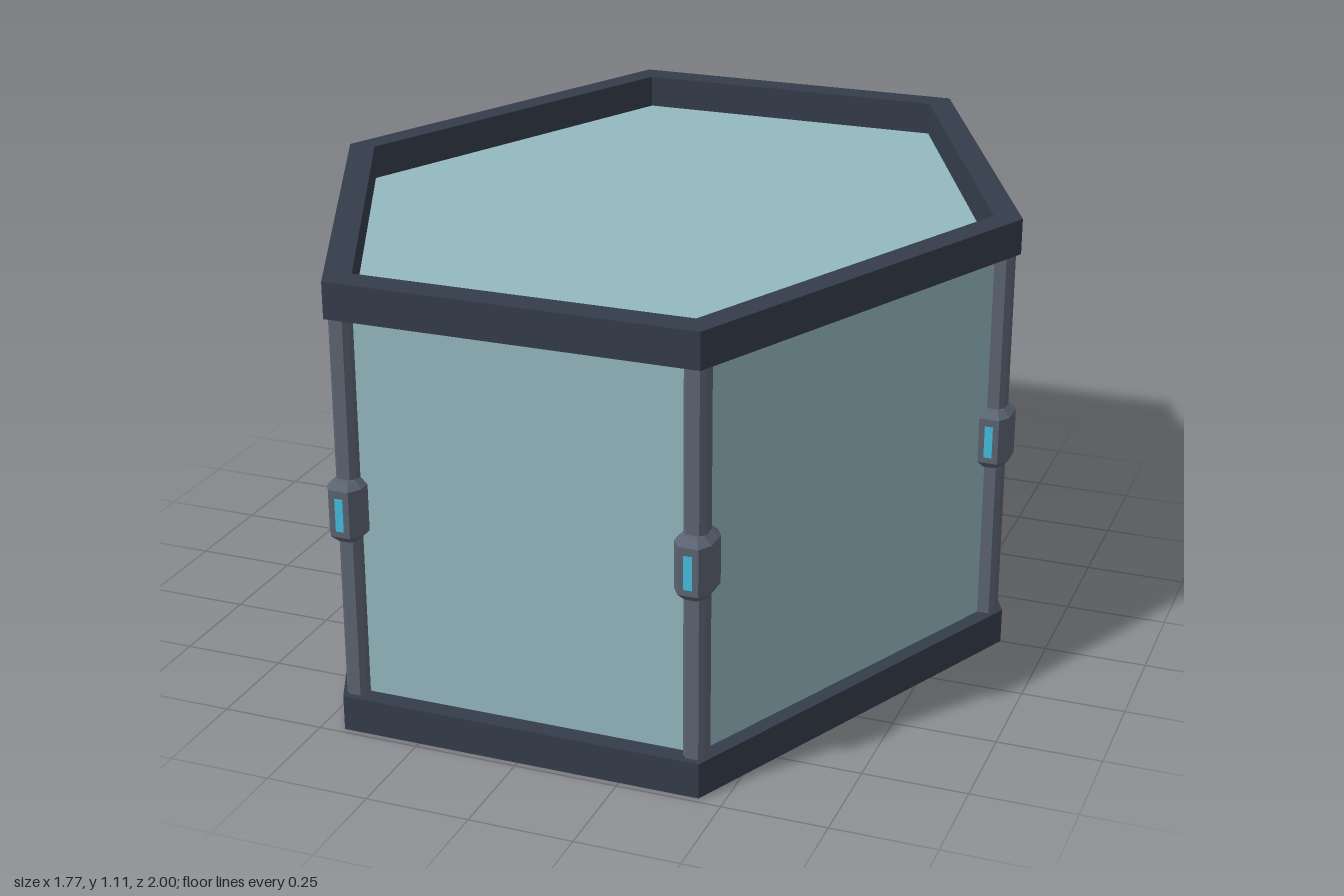
import * as THREE from 'three';

const frameMat = new THREE.MeshStandardMaterial({ color: 0x343d4b, flatShading: true });
const metalMat = new THREE.MeshStandardMaterial({ color: 0x5c6472, flatShading: true });
const glassMat = new THREE.MeshStandardMaterial({ color: 0x94b8c0, flatShading: true });
const lightMat = new THREE.MeshStandardMaterial({ color: 0x45bfe0 });

const HEIGHT = 1.11, RIM = 0.087;

// Stretched hexagon: side points at (±x, 0), four corners at (±cx, ±cz)
const hexPoints = (x, cx, cz) => [[x, 0], [cx, cz], [-cx, cz], [-x, 0], [-cx, -cz], [cx, -cz]]
  .map(([a, b]) => new THREE.Vector2(a, b));

// Rectangle with cut corners, given half sizes and the half widths of the flats
const octPoints = (hx, hz, fx, fz) => [[hx, -fz], [hx, fz], [fx, hz], [-fx, hz], [-hx, fz], [-hx, -fz], [-fx, -hz], [fx, -hz]]
  .map(([a, b]) => new THREE.Vector2(a, b));

// Upright prism from y0 to y1 with an optional hole and bevelled ends
function prism(name, points, y0, y1, material, hole, bevel = 0) {
  const shape = new THREE.Shape(points);
  if (hole) shape.holes.push(new THREE.Path(hole));
  const geometry = new THREE.ExtrudeGeometry(shape, {
    depth: y1 - y0 - 2 * bevel, bevelEnabled: bevel > 0, bevelSegments: 1,
    bevelThickness: bevel, bevelSize: bevel, bevelOffset: -bevel,
  });
  geometry.rotateX(-Math.PI / 2).translate(0, y0 + bevel, 0);
  const mesh = new THREE.Mesh(geometry, material);
  mesh.name = name;
  return mesh;
}

export function createModel() {
  const model = new THREE.Group();
  model.name = 'hexagonalGlassCase';

  // Top and bottom rims
  const outer = hexPoints(0.885, 0.442, 0.985);
  const inner = hexPoints(0.815, 0.405, 0.912);
  model.add(prism('bottomRim', outer, 0, RIM, frameMat, inner));
  model.add(prism('topRim', outer, HEIGHT - RIM, HEIGHT, frameMat, inner));

  // Glass body, its lid and floor set back inside the rims
  const corners = hexPoints(0.843, 0.42, 0.938);
  model.add(prism('glassBody', corners, RIM - 0.003, HEIGHT - RIM + 0.003, glassMat));

  // Corner posts, each with a bevelled collar at mid height
  corners.forEach((corner, i) => {
    const post = new THREE.Group();
    post.name = `cornerPost${i + 1}`;
    post.position.set(corner.x, 0, corner.y);
    post.add(prism('postShaft', octPoints(0.026, 0.031, 0.015, 0.018), RIM, HEIGHT - RIM, metalMat));
    post.add(prism('postCollar', octPoints(0.043, 0.06, 0.024, 0.03), 0.485, 0.635, metalMat, null, 0.018));

    // Light strip on the front of the collar, absent on the rear posts
    if (corner.y >= 0) {
      const strip = new THREE.Mesh(new THREE.BoxGeometry(0.02, 0.08, 0.006), lightMat);
      strip.name = 'lightStrip';
      strip.position.set(0, HEIGHT / 2 + 0.003, 0.059);
      post.add(strip);
    }
    model.add(post);
  });
  return model;
}
